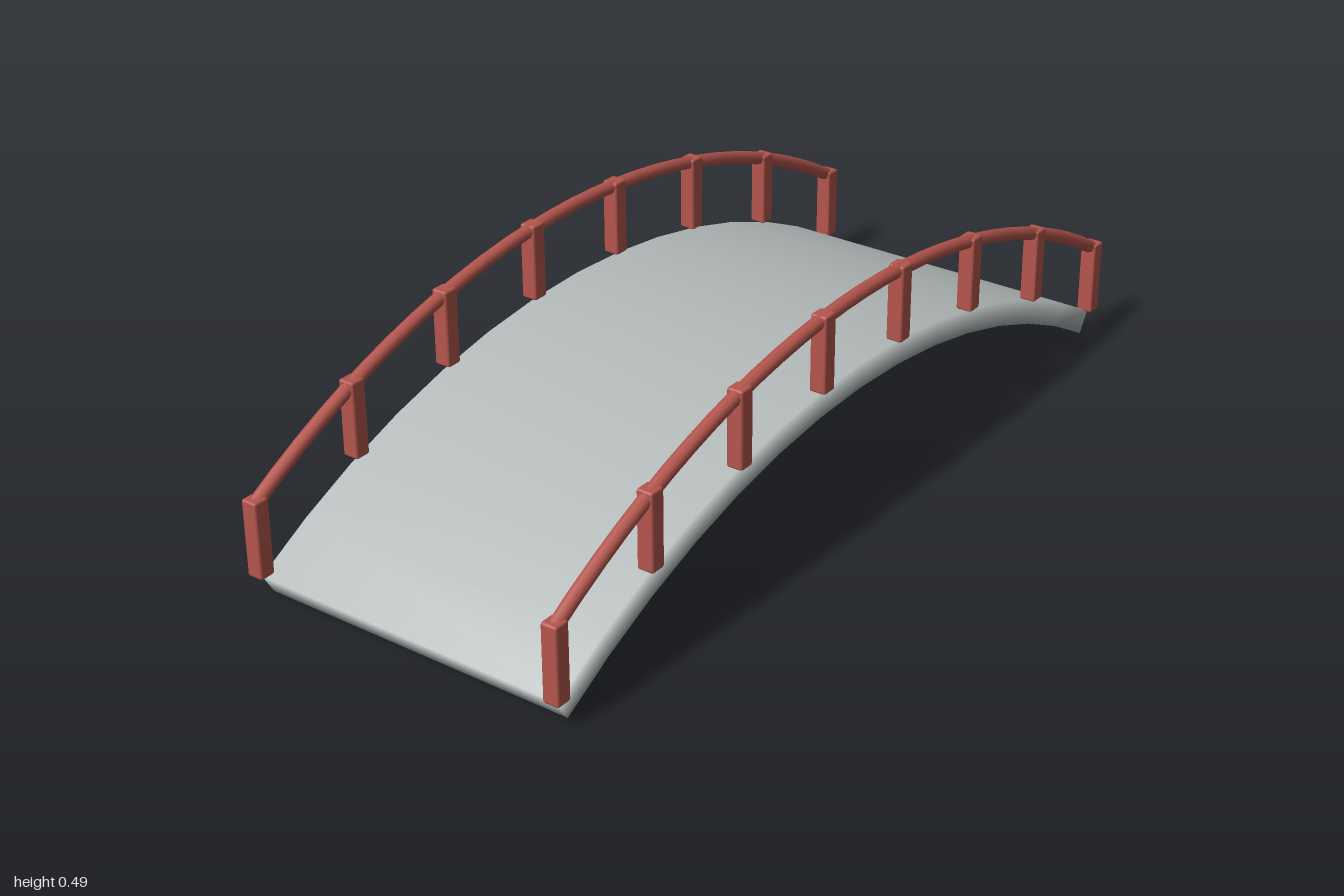
import * as THREE from 'three';
import { RoundedBoxGeometry } from 'three/addons/geometries/RoundedBoxGeometry.js';

const RADIUS = 1.913;      // walking surface arc
const CROWN = 0.32;        // height of the walking surface at mid-span
const THICKNESS = 0.055;
const HALF_ANGLE = 0.538;
const HALF_WIDTH = 0.364;
const POST_COUNT = 8;
const POST_END = 0.981;

const arcHeight = (z) => CROWN - RADIUS + Math.sqrt(RADIUS * RADIUS - z * z);

// Arched slab: one rectangular section swept along the arc, with softly shared normals
function deckGeometry(segments) {
  const positions = [], index = [];
  for (let i = 0; i <= segments; i++) {
    const a = -HALF_ANGLE + (2 * HALF_ANGLE * i) / segments;
    const outer = RADIUS, inner = RADIUS - THICKNESS;
    for (const [x, r] of [[-1, outer], [1, outer], [1, inner], [-1, inner]]) {
      positions.push(x * HALF_WIDTH, CROWN - RADIUS + r * Math.cos(a), r * Math.sin(a));
    }
    if (i === segments) break;
    for (let j = 0; j < 4; j++) {
      const p = i * 4 + j, q = i * 4 + ((j + 1) % 4);
      index.push(p, p + 4, q + 4, p, q + 4, q);
    }
  }
  const e = segments * 4;
  index.push(0, 1, 2, 0, 2, 3, e + 3, e + 2, e + 1, e + 3, e + 1, e);
  const geometry = new THREE.BufferGeometry();
  geometry.setAttribute('position', new THREE.Float32BufferAttribute(positions, 3));
  geometry.setIndex(index);
  geometry.computeVertexNormals();
  return geometry;
}

// Handrail path, parallel to the walking surface
class RailCurve extends THREE.Curve {
  getPoint(t, target = new THREE.Vector3()) {
    const z = (2 * t - 1) * POST_END;
    return target.set(0, arcHeight(z) + 0.162, z);
  }
}

export function createModel() {
  const stone = new THREE.MeshStandardMaterial({ color: 0xb4bbba });
  stone.name = 'pale grey stone';
  const red = new THREE.MeshStandardMaterial({ color: 0xb5564d });
  red.name = 'red painted wood';

  const model = new THREE.Group();
  model.name = 'archedFootbridge';

  const deck = new THREE.Mesh(deckGeometry(14), stone);
  deck.name = 'deck';
  model.add(deck);

  const railGeometry = new THREE.TubeGeometry(new RailCurve(), 28, 0.015, 8, false);
  const postGeometry = new RoundedBoxGeometry(0.037, 0.17, 0.037, 1, 0.005);

  // A handrail on evenly spaced posts along each edge
  for (const side of [-1, 1]) {
    const railing = new THREE.Group();
    railing.name = side > 0 ? 'leftRailing' : 'rightRailing';
    railing.position.x = side * 0.364;

    const handrail = new THREE.Mesh(railGeometry, red);
    handrail.name = 'handrail';
    railing.add(handrail);

    for (let i = 0; i < POST_COUNT; i++) {
      const z = POST_END * ((2 * i) / (POST_COUNT - 1) - 1);
      const post = new THREE.Mesh(postGeometry, red);
      post.name = 'post';
      post.position.set(0, arcHeight(z) + 0.09, z);
      railing.add(post);
    }
    model.add(railing);
  }
  return model;
}
